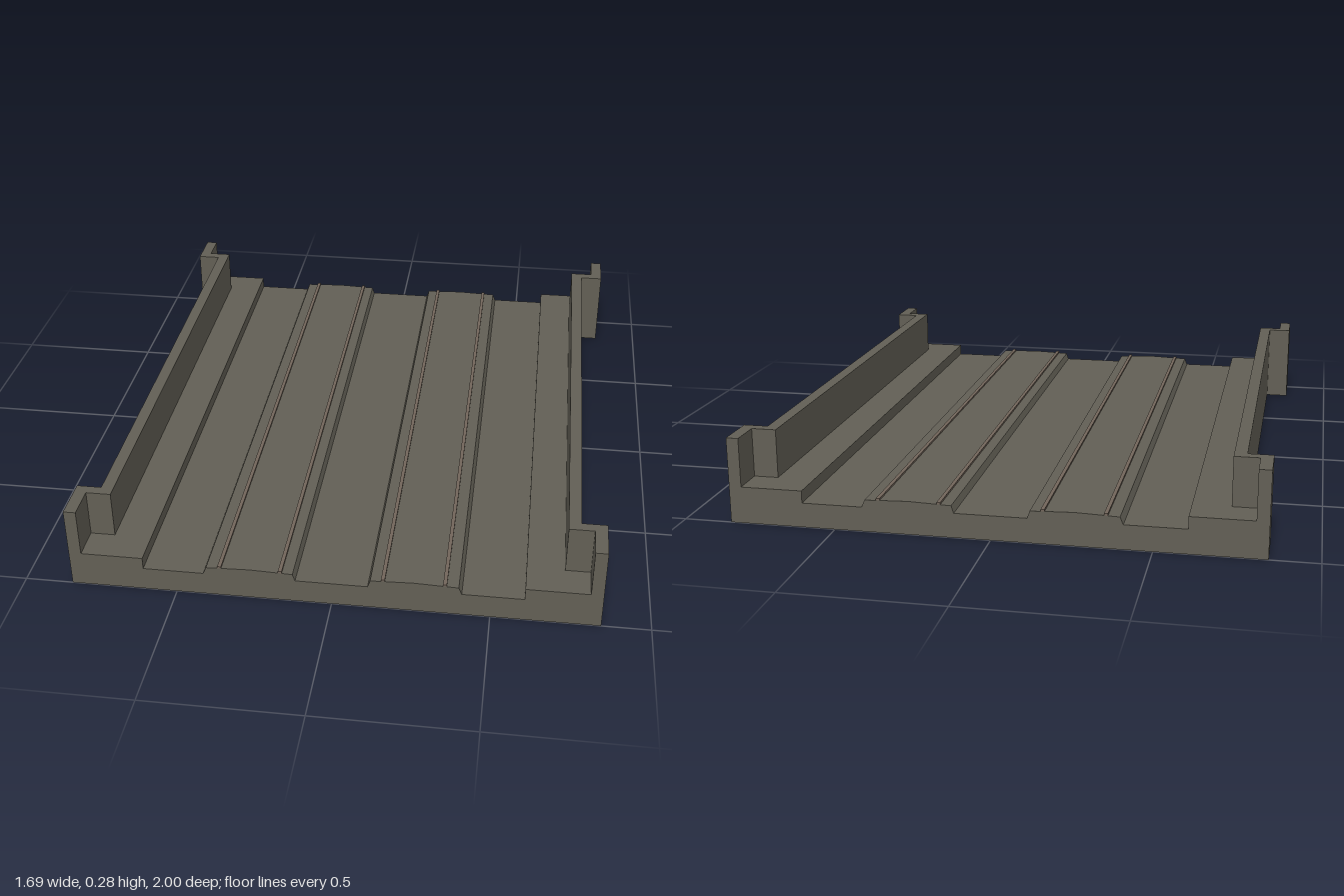
import * as THREE from 'three';

const concrete = new THREE.MeshStandardMaterial({ color: 0x625f55, side: THREE.DoubleSide });
concrete.name = 'concrete';
const railBrown = new THREE.MeshStandardMaterial({ color: 0x72655a, side: THREE.DoubleSide });
railBrown.name = 'rail brown';

// Flat-faced sheet: a path of 3D points swept by an offset
function sweep(path, offset) {
  const pos = [];
  for (let i = 0; i < path.length - 1; i++) {
    const a = path[i], b = path[i + 1];
    const c = b.map((v, k) => v + offset[k]), d = a.map((v, k) => v + offset[k]);
    pos.push(...a, ...b, ...c, ...a, ...c, ...d);
  }
  const g = new THREE.BufferGeometry();
  g.setAttribute('position', new THREE.Float32BufferAttribute(pos, 3));
  g.computeVertexNormals();
  return g;
}

// Sheet with a cross-section in x, y running the full length
const along = (section) => sweep(section.map(([x, y]) => [x, y, 1]), [0, 0, -2]);
// Upright sheet following a plan path in x, z
const upright = (plan, y0, y1) => sweep(plan.map(([x, z]) => [x, y0, z]), [0, y1 - y0, 0]);
const outline = (pts) => new THREE.ShapeGeometry(new THREE.Shape(pts.map(([x, y]) => new THREE.Vector2(x, y))));
// Level plate from a plan outline in x, z
const level = (plan, y) => outline(plan.map(([x, z]) => [x, -z])).rotateX(-Math.PI / 2).translate(0, y, 0);

function add(parent, name, geometry, material = concrete) {
  const mesh = new THREE.Mesh(geometry, material);
  mesh.name = name;
  parent.add(mesh);
  return mesh;
}

export function createModel() {
  const model = new THREE.Group();
  model.name = 'bridgeSection';
  const DECK = 0.08, LEDGE = 0.12, TOP = 0.28;

  // Deck, open underneath
  add(model, 'deck', along([[-0.605, DECK], [0.605, DECK]]));

  // End plates closing the deck profile
  const half = [[0.605, DECK], [0.605, LEDGE], [0.805, LEDGE], [0.805, TOP], [0.845, TOP], [0.845, 0]];
  const profile = [...half, ...half.map(([x, y]) => [-x, y]).reverse()];
  add(model, 'frontEnd', outline(profile).translate(0, 0, 1));
  add(model, 'backEnd', outline(profile).rotateY(Math.PI).translate(0, 0, -1));

  // Plan of the parapet, stepping outwards at both ends
  const outer = [[0.845, 1], [0.845, 0.855], [0.765, 0.855], [0.765, -0.855], [0.845, -0.855], [0.845, -1]];
  const inner = [[0.805, -1], [0.805, -0.89], [0.725, -0.89], [0.725, 0.89], [0.805, 0.89], [0.805, 1]];

  for (const s of [1, -1]) {
    const side = new THREE.Group();
    side.name = s > 0 ? 'leftSide' : 'rightSide';
    side.scale.x = s;
    model.add(side);

    // Raised walkway and its kerb
    add(side, 'walkway', level([[0.605, 1], ...inner.slice().reverse(), [0.605, -1]], LEDGE));
    add(side, 'kerb', along([[0.605, DECK], [0.605, LEDGE]]));

    // Parapet wall
    add(side, 'parapetOuter', upright(outer, 0, TOP));
    add(side, 'parapetInner', upright(inner, LEDGE, TOP));
    add(side, 'parapetTop', level([...outer, ...inner], TOP));

    // Track bed with a slightly crowned top
    const bed = [[0.115, DECK], [0.123, 0.104], [0.2, 0.107], [0.26, 0.109], [0.32, 0.107], [0.4, 0.104], [0.41, DECK]];
    add(side, 'trackBed', along(bed));
    add(side, 'bedFrontEnd', outline(bed).translate(0, 0, 1));
    add(side, 'bedBackEnd', outline(bed).translate(0, 0, -1));

    // Low rails
    for (const x of [0.163, 0.357]) {
      const rail = add(side, 'rail', new THREE.BoxGeometry(0.012, 0.01, 2), railBrown);
      rail.position.set(x, 0.107, 0);
    }
  }
  return model;
}
